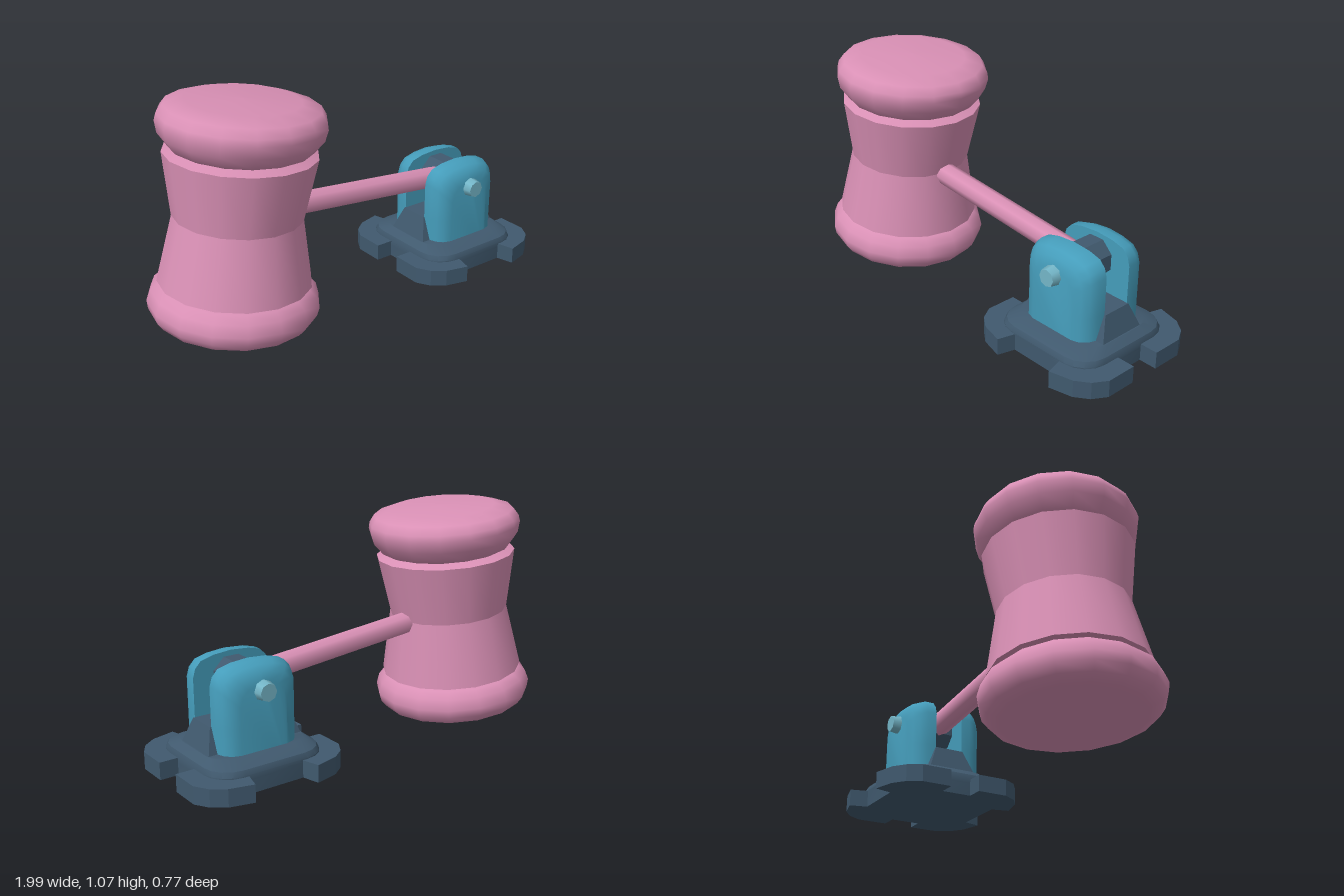
import * as THREE from 'three';
import { toCreasedNormals } from 'three/addons/utils/BufferGeometryUtils.js';

const paint = (name, color) => {
  const m = new THREE.MeshStandardMaterial({ color });
  m.name = name;
  return m;
};

// Closed solid through a stack of convex rings, each counterclockwise seen from the last ring's side
function loft(rings, crease) {
  const n = rings[0].length, pos = [];
  const tri = (...p) => p.forEach(v => pos.push(v.x, v.y, v.z));
  for (let k = 0; k + 1 < rings.length; k++) {
    for (let i = 0; i < n; i++) {
      const j = (i + 1) % n, a = rings[k], b = rings[k + 1];
      tri(a[i], a[j], b[j]);
      tri(a[i], b[j], b[i]);
    }
  }
  const first = rings[0], last = rings[rings.length - 1];
  for (let i = 1; i + 1 < n; i++) {
    tri(first[0], first[i + 1], first[i]);
    tri(last[0], last[i], last[i + 1]);
  }
  const g = new THREE.BufferGeometry();
  g.setAttribute('position', new THREE.Float32BufferAttribute(pos, 3));
  return toCreasedNormals(g, crease);
}

// Horizontal rounded rectangle at height y
function roundedRing(hx, hz, r, y) {
  const ring = [];
  for (let q = 0; q < 4; q++) {
    const sx = q === 0 || q === 3 ? 1 : -1, sz = q < 2 ? -1 : 1;
    for (let s = 0; s <= 4; s++) {
      const a = (q + s / 4) * Math.PI / 2;
      ring.push(new THREE.Vector3(sx * (hx - r) + r * Math.cos(a), y, sz * (hz - r) - r * Math.sin(a)));
    }
  }
  return ring;
}

// Upright arch outline at depth z, shrunk by d
function archRing(z, d) {
  const w = 0.188 - d;
  const side = [[w, 0.03], [w, 0.25], [w, 0.42 - d], [w - 0.012, 0.46 - d], [w - 0.04, 0.49 - d], [w - 0.1, 0.506 - d]];
  const mirrored = side.map(([x, y]) => [-x, y]).reverse();
  return [...side, [0, 0.513 - d], ...mirrored].map(([x, y]) => new THREE.Vector3(x, y, z));
}

export function createModel() {
  const model = new THREE.Group();
  model.name = 'hingedMallet';
  const pink = paint('pink', 0xd990b5);
  const teal = paint('teal', 0x459dbb);
  const slate = paint('slate', 0x40596e);
  const paleTeal = paint('pale teal', 0x74b6c8);

  const add = (parent, name, geo, mat) => {
    const mesh = new THREE.Mesh(geo, mat);
    mesh.name = name;
    parent.add(mesh);
    return mesh;
  };

  // Mallet, tilted down toward the hinge
  const mallet = new THREE.Group();
  mallet.name = 'mallet';
  mallet.position.set(-0.57, 0.54, 0);
  mallet.rotation.z = -0.1;
  model.add(mallet);
  const turned = (name, profile) => add(mallet, name,
    new THREE.LatheGeometry(profile.map(p => new THREE.Vector2(...p)), 16), pink);

  turned('lowerCap', [[0, -0.495], [0.2, -0.502], [0.3, -0.505], [0.352, -0.485], [0.378, -0.45], [0.386, -0.41],
    [0.37, -0.36], [0.335, -0.33], [0.27, -0.305], [0, -0.3]]);
  turned('lowerShoulder', [[0.27, -0.33], [0.345, -0.315]]);
  turned('lowerBarrel', [[0.345, -0.315], [0.288, -0.01]]);
  turned('upperBarrel', [[0.288, -0.01], [0.336, 0.275]]);
  turned('upperShoulder', [[0.336, 0.275], [0.27, 0.3]]);
  turned('upperCap', [[0, 0.27], [0.26, 0.28], [0.312, 0.303], [0.354, 0.357], [0.366, 0.41],
    [0.36, 0.44], [0.335, 0.477], [0.25, 0.503], [0, 0.508]]);

  const handle = add(mallet, 'handle', new THREE.CylinderGeometry(0.054, 0.054, 0.97, 8), pink);
  handle.rotation.z = Math.PI / 2;
  handle.position.set(0.685, -0.018, 0);

  // Hinge stand
  const stand = new THREE.Group();
  stand.name = 'stand';
  stand.position.x = 0.635;
  model.add(stand);

  // Base plate with a recessed underside: wall ring below, solid plate above
  const wallTop = roundedRing(0.277, 0.275, 0.12, 0.085);
  add(stand, 'basePlate', loft([
    roundedRing(0.277, 0.275, 0.12, 0.06), wallTop,
    roundedRing(0.27, 0.265, 0.12, 0.107),
    roundedRing(0.235, 0.2, 0.1, 0.136),
  ], 0.5), slate);
  const wall = loft([roundedRing(0.277, 0.275, 0.12, 0), wallTop], 0.5);
  // Keep only the side faces of the wall, leaving it open below
  wall.setDrawRange(0, wallTop.length * 6);
  add(stand, 'baseWall', wall, slate);

  // Four curved corner feet
  const outline = [[0.363, 0.073], [0.363, 0.22], [0.325, 0.285], [0.265, 0.33], [0.155, 0.358],
    [0.13, 0.262], [0.2, 0.24], [0.25, 0.19], [0.265, 0.073]];
  for (const sx of [1, -1]) {
    for (const sz of [1, -1]) {
      const shape = new THREE.Shape(outline.map(([x, z]) => new THREE.Vector2(sx * x, sz * z)));
      const geo = new THREE.ExtrudeGeometry(shape, { depth: 0.08, bevelEnabled: false });
      geo.rotateX(-Math.PI / 2);
      add(stand, 'foot', geo, slate);
    }
  }

  // Tapered block between the lugs
  const rect = (hx, hz, y) => [[hx, hz], [hx, -hz], [-hx, -hz], [-hx, hz]].map(([x, z]) => new THREE.Vector3(x, y, z));
  add(stand, 'taperedBlock', loft([rect(0.235, 0.122, 0.12), rect(0.195, 0.072, 0.245)], 0.3), slate);

  // Pivot barrel
  const barrel = add(stand, 'pivotBarrel', new THREE.CylinderGeometry(0.095, 0.095, 0.145, 8).toNonIndexed(), slate);
  barrel.geometry.computeVertexNormals();
  barrel.geometry.rotateY(Math.PI / 8);
  barrel.rotation.x = Math.PI / 2;
  barrel.position.y = 0.4;

  // Rounded lugs and bolt heads, front and back
  for (const turn of [0, Math.PI]) {
    const side = new THREE.Group();
    side.name = turn ? 'backLugSide' : 'frontLugSide';
    side.rotation.y = turn;
    stand.add(side);
    add(side, 'lug', loft([[0.07, 0], [0.115, 0], [0.15, 0.012], [0.177, 0.036], [0.19, 0.075]]
      .map(([z, d]) => archRing(z, d)), 0.75), teal);
    const bolt = add(side, 'boltHead', new THREE.CylinderGeometry(0.04, 0.048, 0.05, 8), paleTeal);
    bolt.rotation.x = Math.PI / 2;
    bolt.position.set(0, 0.4, 0.206);
  }
  return model;
}
